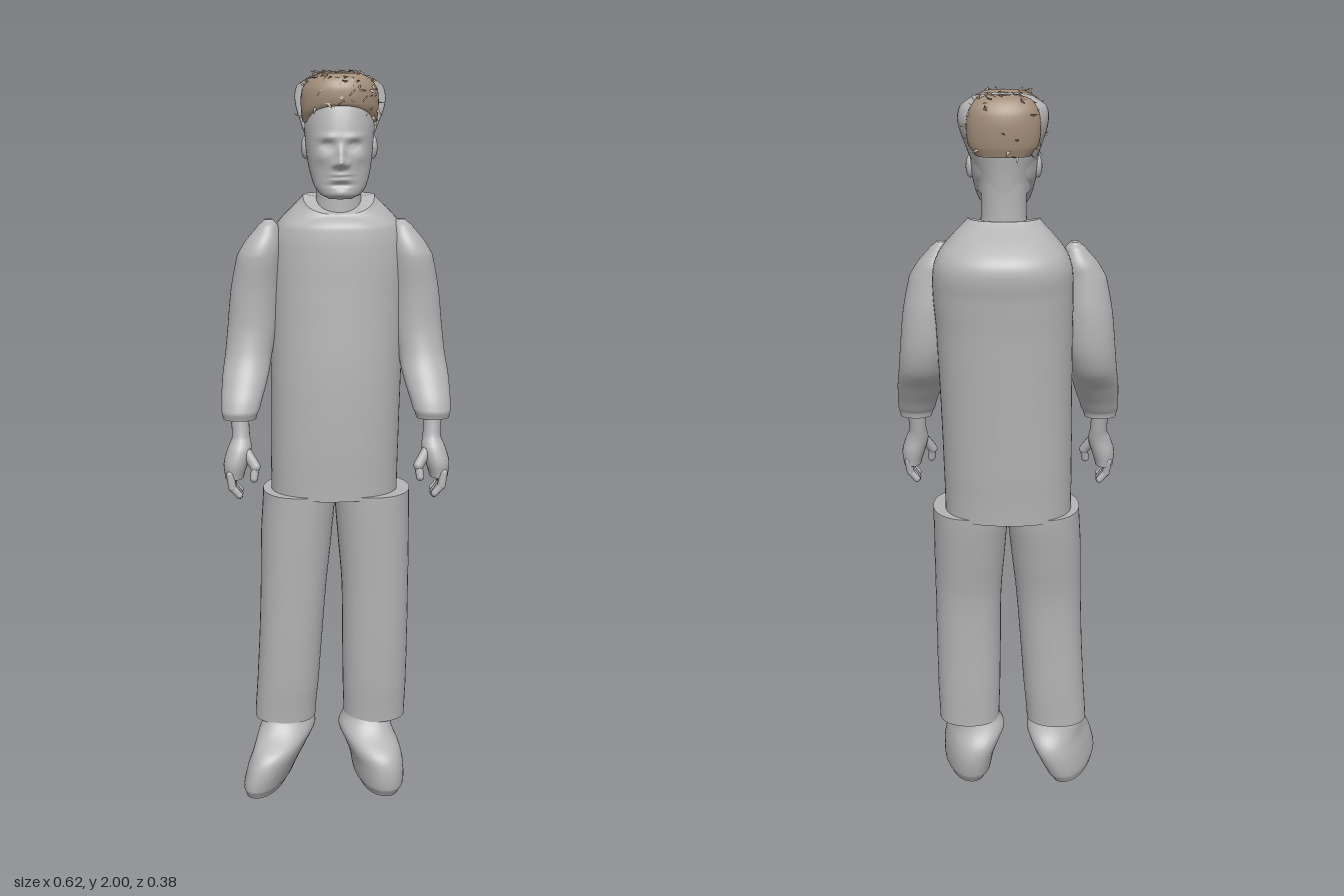
import * as THREE from 'three';

const grey = new THREE.MeshStandardMaterial({ color: 0xb4b4b4 });
grey.name = 'plain grey';
const brown = new THREE.MeshStandardMaterial({ color: 0xa08c78, side: THREE.DoubleSide });
brown.name = 'hair brown';

// small seeded random numbers
function seeded(seed) {
  return () => {
    seed = (seed * 16807) % 2147483647;
    return seed / 2147483647;
  };
}

// Body through rounded rings, listed upward as [y, xMin, xMax, zMin, zMax]
function loft(rings, { n = 40, sub = 5, power = 1, warp } = {}) {
  const pos = [], index = [], rows = [];
  const spline = (a, b, c, d, t) => b + 0.5 * t * (c - a + t * (2 * a - 5 * b + 4 * c - d + t * (3 * (b - c) + d - a)));
  for (let i = 0; i < rings.length - 1; i++) {
    const a = rings[Math.max(i - 1, 0)], b = rings[i], c = rings[i + 1], d = rings[Math.min(i + 2, rings.length - 1)];
    for (let s = 0; s < sub; s++) {
      const t = s / sub;
      rows.push(b.map((v, k) => (k ? spline(a[k], v, c[k], d[k], t) : v + (c[k] - v) * t)));
    }
  }
  rows.push(rings[rings.length - 1]);
  const bend = (v) => Math.sign(v) * Math.abs(v) ** power;
  const p = new THREE.Vector3();
  for (const [y, x0, x1, z0, z1] of rows) {
    for (let j = 0; j < n; j++) {
      const a = (j / n) * Math.PI * 2;
      p.set((x0 + x1) / 2 + ((x1 - x0) / 2) * bend(Math.cos(a)), y, (z0 + z1) / 2 + ((z1 - z0) / 2) * bend(Math.sin(a)));
      if (warp) warp(p);
      pos.push(p.x, p.y, p.z);
    }
  }
  for (let i = 0; i < rows.length - 1; i++) {
    for (let j = 0; j < n; j++) {
      const a = i * n + j, b = i * n + ((j + 1) % n);
      index.push(a, a + n, b, b, a + n, b + n);
    }
  }
  // flat ends with their own corners, so the rims stay crisp
  for (const [row, top] of [[0, false], [rows.length - 1, true]]) {
    const first = pos.length / 3, centre = first + n;
    const mid = [0, 0, 0];
    for (let j = 0; j < n; j++) {
      for (let k = 0; k < 3; k++) {
        const v = pos[(row * n + j) * 3 + k];
        pos.push(v);
        mid[k] += v / n;
      }
    }
    pos.push(...mid);
    for (let j = 0; j < n; j++) {
      const a = first + j, b = first + ((j + 1) % n);
      index.push(centre, top ? b : a, top ? a : b);
    }
  }
  const geo = new THREE.BufferGeometry();
  geo.setAttribute('position', new THREE.Float32BufferAttribute(pos, 3));
  geo.setIndex(index);
  geo.computeVertexNormals();
  return geo;
}

function add(parent, name, geo, material = grey) {
  const mesh = new THREE.Mesh(geo, material);
  mesh.name = name;
  parent.add(mesh);
  return mesh;
}

function capsuleBetween(parent, name, a, b, r) {
  const from = new THREE.Vector3(...a), to = new THREE.Vector3(...b);
  const mesh = add(parent, name, new THREE.CapsuleGeometry(r, from.distanceTo(to), 4, 10));
  mesh.position.copy(from).lerp(to, 0.5);
  mesh.quaternion.setFromUnitVectors(new THREE.Vector3(0, 1, 0), to.sub(from).normalize());
}

// Sleeve, palm and fingers; side is 1 for left and -1 for right
function makeArm(side) {
  const arm = new THREE.Group();
  arm.name = side > 0 ? 'leftArm' : 'rightArm';
  const flip = (rings) => (side > 0 ? rings : rings.map(([y, a, b, c, d]) => [y, -b, -a, c, d]));
  add(arm, 'sleeve', loft(flip([
    [1.095, 0.215, 0.303, 0.08, 0.146], [1.12, 0.205, 0.308, 0.068, 0.15], [1.2, 0.182, 0.305, 0.015, 0.115],
    [1.26, 0.17, 0.297, -0.032, 0.088], [1.33, 0.155, 0.29, -0.053, 0.073], [1.43, 0.148, 0.28, -0.055, 0.07],
    [1.52, 0.145, 0.262, -0.045, 0.075], [1.56, 0.145, 0.238, -0.04, 0.065], [1.6, 0.152, 0.205, -0.022, 0.04],
    [1.615, 0.165, 0.188, -0.006, 0.02],
  ])));
  add(arm, 'palm', loft(flip([
    [0.94, 0.25, 0.3, 0.105, 0.175], [0.98, 0.238, 0.303, 0.1, 0.18], [1.02, 0.228, 0.292, 0.1, 0.17],
    [1.05, 0.232, 0.28, 0.095, 0.15], [1.11, 0.235, 0.285, 0.085, 0.138],
  ]), { n: 20 }));
  for (let i = 0; i < 4; i++) {
    const z = 0.115 + i * 0.018, y = 0.89 + Math.abs(i - 1.5) * 0.006;
    capsuleBetween(arm, 'finger', [side * 0.285, 0.955, z], [side * 0.28, 0.92, z + 0.003], 0.011);
    capsuleBetween(arm, 'fingertip', [side * 0.28, 0.92, z + 0.003], [side * 0.262, y, z + 0.003], 0.01);
  }
  capsuleBetween(arm, 'thumb', [side * 0.24, 1.01, 0.15], [side * 0.218, 0.975, 0.165], 0.014);
  capsuleBetween(arm, 'thumbTip', [side * 0.218, 0.975, 0.165], [side * 0.222, 0.945, 0.172], 0.011);
  return arm;
}

// Rough hair: jitter a shell and stand thin locks on it
function makeHair(parent, name, rings, warp, seed, locks) {
  const rand = seeded(seed);
  const geo = loft(rings, { n: 36, sub: 3, warp });
  const p = geo.attributes.position, normal = geo.attributes.normal;
  const cards = [];
  for (let i = 0; i < locks; i++) {
    const k = Math.floor(rand() * (p.count - 75));
    const base = new THREE.Vector3().fromBufferAttribute(p, k);
    const out = new THREE.Vector3().fromBufferAttribute(normal, k);
    const tip = base.clone().addScaledVector(out, 0.008);
    tip.x += (rand() - 0.5) * 0.03;
    tip.y = Math.min(2, tip.y + (rand() - 0.5) * 0.03);
    cards.push(base.x - 0.005, base.y, base.z, base.x + 0.005, base.y + 0.004, base.z, tip.x, tip.y, tip.z);
  }
  add(parent, name, geo, brown);
  const lockGeo = new THREE.BufferGeometry();
  lockGeo.setAttribute('position', new THREE.Float32BufferAttribute(cards, 3));
  lockGeo.computeVertexNormals();
  add(parent, name + 'Locks', lockGeo, brown);
}

function makeHead() {
  const head = new THREE.Group();
  head.name = 'head';
  // face relief as soft bumps: [x, y, depth, width, height]
  const cx = 0.01;
  const bumps = [
    [cx, 1.772, 0.026, 0.011, 0.012], [cx, 1.795, 0.014, 0.008, 0.018], [cx, 1.742, 0.007, 0.024, 0.004],
    [cx, 1.73, 0.008, 0.02, 0.005], [cx, 1.736, -0.004, 0.026, 0.002], [cx, 1.716, -0.006, 0.03, 0.005],
    [cx, 1.695, 0.005, 0.022, 0.01],
  ];
  for (const s of [-1, 1]) {
    bumps.push([cx + s * 0.034, 1.815, -0.015, 0.016, 0.01], [cx + s * 0.034, 1.814, 0.008, 0.01, 0.005],
      [cx + s * 0.034, 1.836, 0.006, 0.024, 0.007], [cx + s * 0.016, 1.768, 0.009, 0.006, 0.007],
      [cx + s * 0.05, 1.785, 0.005, 0.018, 0.014]);
  }
  add(head, 'face', loft([
    [1.68, -0.022, 0.042, 0.1, 0.15], [1.69, -0.042, 0.062, 0.075, 0.16], [1.71, -0.057, 0.077, 0.04, 0.162],
    [1.74, -0.067, 0.087, 0.0, 0.163], [1.78, -0.075, 0.094, -0.045, 0.166], [1.82, -0.079, 0.098, -0.055, 0.164],
    [1.87, -0.082, 0.102, -0.06, 0.156], [1.92, -0.08, 0.1, -0.06, 0.142], [1.96, -0.068, 0.088, -0.05, 0.12],
    [1.98, -0.035, 0.055, -0.03, 0.08],
  ], {
    n: 96, sub: 8, power: 0.92,
    warp: (p) => {
      if (p.z < 0.08) return;
      let d = 0;
      for (const [x, y, depth, w, h] of bumps) d += depth * Math.exp(-(((p.x - x) / w) ** 2) - ((p.y - y) / h) ** 2);
      p.z += d;
    },
  }));
  add(head, 'neck', loft([[1.58, -0.06, 0.08, -0.065, 0.06], [1.68, -0.05, 0.07, -0.058, 0.056], [1.78, -0.05, 0.07, -0.058, 0.056]]));
  // rear shell of the head, cut flat in front of the ears
  add(head, 'skull', loft([
    [1.745, -0.06, 0.08, -0.058, 0.14], [1.8, -0.068, 0.088, -0.062, 0.14], [1.86, -0.088, 0.11, -0.07, 0.15],
    [1.92, -0.105, 0.13, -0.072, 0.15], [1.96, -0.1, 0.123, -0.06, 0.14], [1.985, -0.065, 0.09, -0.03, 0.1],
    [1.993, -0.03, 0.05, -0.01, 0.06],
  ], { warp: (p) => { p.z = Math.min(p.z, 0.045); } }));
  for (const s of [-1, 1]) {
    const ear = add(head, 'ear', new THREE.SphereGeometry(1, 16, 12));
    ear.scale.set(0.012, 0.03, 0.018);
    ear.position.set(cx + s * 0.088, 1.805, 0.045);
  }
  makeHair(head, 'frontHair', [
    [1.87, -0.086, 0.106, 0.0, 0.13], [1.9, -0.09, 0.11, 0.0, 0.146], [1.95, -0.088, 0.108, 0.0, 0.15],
    [1.98, -0.07, 0.09, 0.01, 0.138], [1.992, -0.045, 0.065, 0.025, 0.115],
  ], (p) => {
    p.z = Math.max(p.z, 0.028);
    // hairline rises over the forehead
    if (p.y < 1.92 && p.z > 0.06) p.y += (1.92 - p.y) * 0.7 * Math.max(0, 1 - ((p.x - cx) / 0.09) ** 2);
  }, 17, 90);
  makeHair(head, 'backHair', [
    [1.845, -0.06, 0.08, -0.076, 0.0], [1.87, -0.08, 0.1, -0.083, 0.02], [1.92, -0.086, 0.106, -0.086, 0.03],
    [1.96, -0.078, 0.098, -0.08, 0.02], [1.985, -0.06, 0.08, -0.06, 0.01], [1.995, -0.03, 0.05, -0.042, 0.0],
  ], (p) => { p.z = Math.min(p.z, -0.008); }, 41, 70);
  return head;
}

export function createModel() {
  const model = new THREE.Group();
  model.name = 'standingMan';

  // long jacket with a dipped front neckline
  add(model, 'jacket', loft([
    [0.86, -0.177, 0.173, -0.135, 0.12], [1.0, -0.177, 0.176, -0.145, 0.125], [1.2, -0.175, 0.182, -0.158, 0.125],
    [1.4, -0.174, 0.19, -0.172, 0.115], [1.5, -0.174, 0.197, -0.182, 0.11], [1.56, -0.17, 0.194, -0.19, 0.106],
    [1.6, -0.154, 0.178, -0.178, 0.1], [1.64, -0.12, 0.143, -0.13, 0.088], [1.68, -0.085, 0.105, -0.062, 0.068],
  ], {
    n: 64, power: 0.86,
    warp: (p) => { if (p.y > 1.6 && p.z > 0) p.y -= 0.62 * (p.y - 1.6) * Math.min(1, p.z / 0.07); },
  }));

  // trousers, standing slightly unevenly
  add(model, 'leftTrouserLeg', loft([
    [0.19, 0.025, 0.2, -0.063, 0.085], [0.3, 0.022, 0.204, -0.066, 0.095], [0.45, 0.02, 0.206, -0.068, 0.103],
    [0.6, 0.018, 0.207, -0.075, 0.108], [0.75, 0.006, 0.208, -0.1, 0.114], [0.87, -0.002, 0.208, -0.118, 0.118],
  ], { power: 0.92 }));
  add(model, 'rightTrouserLeg', loft([
    [0.19, -0.23, -0.057, -0.063, 0.085], [0.3, -0.223, -0.047, -0.066, 0.095], [0.45, -0.215, -0.036, -0.068, 0.103],
    [0.6, -0.21, -0.024, -0.075, 0.108], [0.75, -0.207, -0.008, -0.1, 0.114], [0.87, -0.2, 0.002, -0.118, 0.118],
  ], { power: 0.92 }));

  // shoes, toes turned outward
  add(model, 'leftShoe', loft([
    [0, 0.07, 0.175, -0.06, 0.168], [0.025, 0.055, 0.188, -0.075, 0.182], [0.08, 0.045, 0.188, -0.085, 0.182],
    [0.12, 0.03, 0.18, -0.08, 0.165], [0.16, 0.015, 0.165, -0.055, 0.11], [0.2, 0.03, 0.16, -0.04, 0.08],
  ], { power: 0.9, warp: (p) => { p.x += 0.15 * (p.z - 0.05); } }));
  add(model, 'rightShoe', loft([
    [0, -0.245, -0.145, -0.06, 0.168], [0.025, -0.25, -0.13, -0.075, 0.182], [0.08, -0.24, -0.105, -0.085, 0.182],
    [0.12, -0.228, -0.085, -0.08, 0.165], [0.16, -0.222, -0.068, -0.055, 0.11], [0.2, -0.21, -0.075, -0.04, 0.08],
  ], { power: 0.9, warp: (p) => { p.x -= 0.28 * (p.z - 0.05); } }));

  for (const side of [1, -1]) model.add(makeArm(side));
  model.add(makeHead());
  return model;
}
